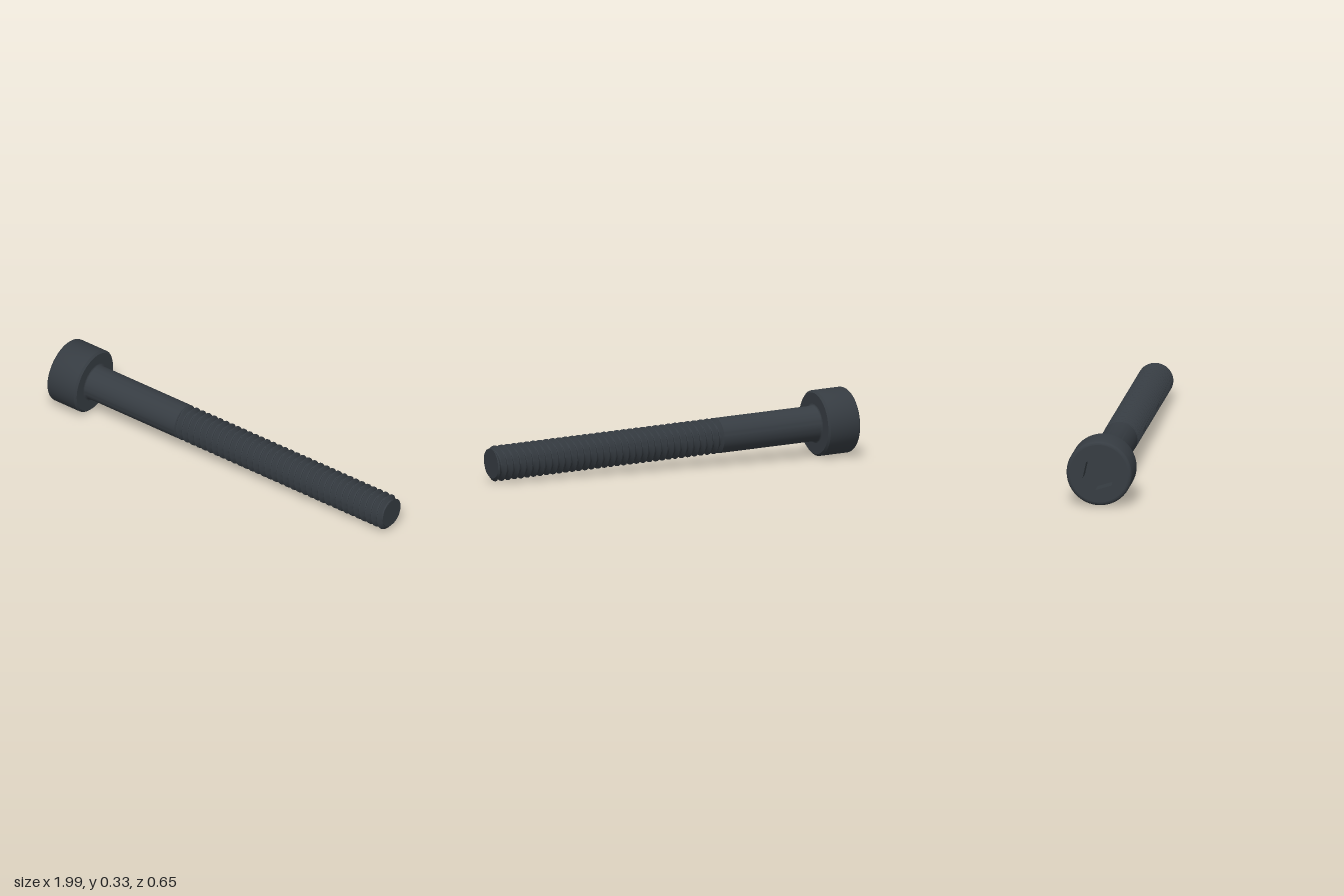
import * as THREE from 'three';
import { toCreasedNormals } from 'three/addons/utils/BufferGeometryUtils.js';

// Screw axis: centre of the head's outer face to centre of the tip
const HEAD = new THREE.Vector3(-0.965, 0.169, -0.168);
const TIP = new THREE.Vector3(0.979, 0.09, 0.242);
const LENGTH = HEAD.distanceTo(TIP);
const HEAD_R = 0.164, HEAD_H = 0.18, SHANK_R = 0.088;
const SOCKET_R = 0.086, SOCKET_DEPTH = 0.085;
const THREAD_START = 0.73, PITCH = 0.036, ROOT_R = 0.069;

// Quarter arc as profile points
function arc(cx, cy, r, from, to, steps = 5) {
  return Array.from({ length: steps + 1 }, (_, i) => {
    const a = THREE.MathUtils.lerp(from, to, i / steps);
    return new THREE.Vector2(cx + r * Math.cos(a), cy + r * Math.sin(a));
  });
}

function lathe(points) {
  return toCreasedNormals(new THREE.LatheGeometry(points, 72), 0.5);
}

// Helical V-thread: rows follow the helix and are clamped to both ends
function threadGeometry() {
  const seg = 48, fractions = [0, 0.18, 0.54, 0.64];
  const radii = [ROOT_R, ROOT_R, SHANK_R + 0.001, SHANK_R + 0.001];
  const turns = Math.ceil((LENGTH - THREAD_START) / PITCH) + 1;
  const radiusAt = (s, turn) => {
    const f = THREE.MathUtils.euclideanModulo((s - THREAD_START) / PITCH + turn + 1e-6, 1);
    let k = 3;
    while (k > 0 && f < fractions[k]) k--;
    const end = k === 3 ? 1 : fractions[k + 1];
    const r = THREE.MathUtils.lerp(radii[k], radii[(k + 1) % 4], (f - fractions[k]) / (end - fractions[k]));
    return Math.min(r, 0.077 + (LENGTH - s) * 0.7);
  };
  const positions = [], index = [];
  const addRow = (place) => {
    for (let j = 0; j <= seg; j++) {
      const turn = j / seg, a = turn * Math.PI * 2;
      const [s, r] = place(turn);
      positions.push(r * Math.cos(a), s, r * Math.sin(a));
    }
  };
  let rows = 0;
  for (let i = 0; i <= turns; i++) {
    for (const f of fractions) {
      addRow((turn) => {
        const s = THREE.MathUtils.clamp(THREAD_START + (i + f - turn) * PITCH, THREAD_START, LENGTH);
        return [s, radiusAt(s, turn)];
      });
      rows++;
    }
  }
  // Flat tip
  addRow(() => [LENGTH, 0]);
  rows++;
  for (let i = 0; i < rows - 1; i++) {
    for (let j = 0; j < seg; j++) {
      const a = i * (seg + 1) + j, b = a + seg + 1;
      index.push(a, b, a + 1, b, b + 1, a + 1);
    }
  }
  const geo = new THREE.BufferGeometry();
  geo.setAttribute('position', new THREE.Float32BufferAttribute(positions, 3));
  geo.setIndex(index);
  return toCreasedNormals(geo, 0.5);
}

export function createModel() {
  const steel = new THREE.MeshStandardMaterial({ color: 0x363c42 });
  steel.name = 'dark steel';
  const model = new THREE.Group();
  model.name = 'socketScrew';
  const add = (name, geo) => {
    const mesh = new THREE.Mesh(geo, steel);
    mesh.name = name;
    model.add(mesh);
  };
  const V = (x, y) => new THREE.Vector2(x, y);

  // Head side with rounded outer rim, chamfered lower rim and underside
  const rim = 0.018;
  add('head', lathe([
    ...arc(HEAD_R - rim, rim, rim, -Math.PI / 2, 0),
    V(HEAD_R, HEAD_H - 0.01), V(HEAD_R - 0.01, HEAD_H), V(SHANK_R, HEAD_H),
  ]));

  // Outer face with the hexagonal socket cut through it
  const face = new THREE.Shape().absarc(0, 0, HEAD_R - rim, 0, Math.PI * 2);
  const hex = Array.from({ length: 6 }, (_, i) =>
    V(SOCKET_R * Math.cos(i * Math.PI / 3), SOCKET_R * Math.sin(i * Math.PI / 3)));
  face.holes.push(new THREE.Path(hex));
  add('socket', new THREE.ExtrudeGeometry(face, {
    depth: SOCKET_DEPTH, bevelEnabled: false, curveSegments: 72,
  }).rotateX(-Math.PI / 2));
  add('socketFloor', new THREE.CircleGeometry(SOCKET_R, 6)
    .rotateX(Math.PI / 2).translate(0, SOCKET_DEPTH, 0));

  // Plain shank with a fillet under the head and a tapered end
  const fillet = 0.01;
  add('shank', lathe([
    ...arc(SHANK_R + fillet, HEAD_H + fillet, fillet, Math.PI * 1.5, Math.PI),
    V(SHANK_R, THREAD_START - 0.004), V(ROOT_R - 0.004, THREAD_START + 0.008),
  ]));

  add('thread', threadGeometry());

  // Lay the screw along its axis
  model.position.copy(HEAD);
  model.quaternion.setFromUnitVectors(
    new THREE.Vector3(0, 1, 0), TIP.clone().sub(HEAD).normalize());
  const group = new THREE.Group();
  group.name = 'screw';
  group.add(model);
  return group;
}
